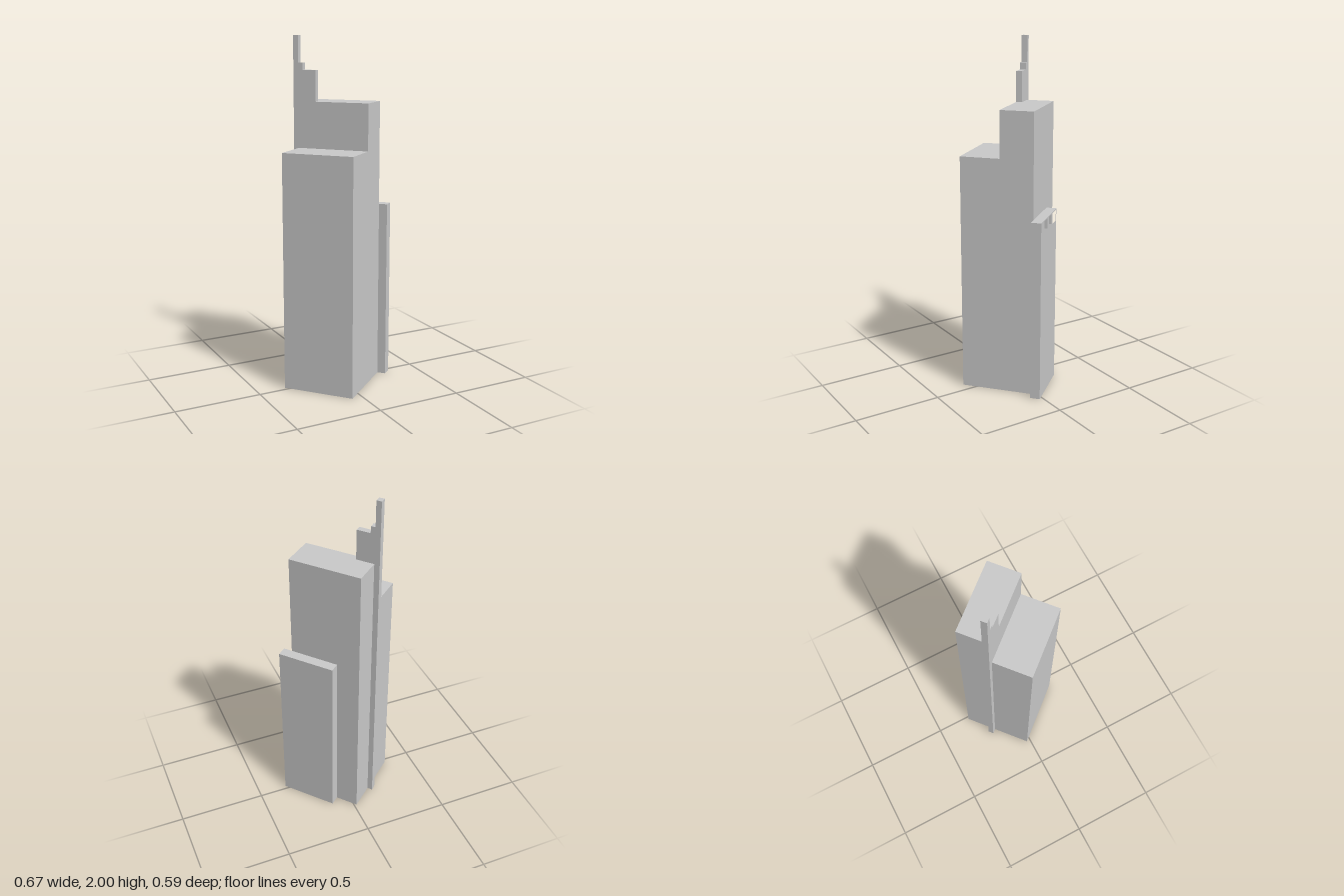
import * as THREE from 'three';

// Plan coordinates: u runs across the tower, v along it, from the tower's left-hand corner.
const material = new THREE.MeshStandardMaterial({ color: 0xcccccc, flatShading: true });

function block(name, u0, u1, v0, v1, height) {
  const geometry = new THREE.BoxGeometry(u1 - u0, height, v1 - v0);
  geometry.translate((u0 + u1) / 2, height / 2, (v0 + v1) / 2);
  const mesh = new THREE.Mesh(geometry, material);
  mesh.name = name;
  return mesh;
}

const path = (points) => points.map(([v, y]) => new THREE.Vector2(-v, y));
const rect = (v0, v1, y0, y1) => [[v0, y0], [v1, y0], [v1, y1], [v0, y1]];

// Upright outline in (v, y), extruded along u
function panel(name, outline, holes, u0, u1) {
  const shape = new THREE.Shape(path(outline));
  for (const hole of holes) shape.holes.push(new THREE.Path(path(hole)));
  const geometry = new THREE.ExtrudeGeometry(shape, { depth: u1 - u0, bevelEnabled: false });
  geometry.rotateY(Math.PI / 2).translate(u0, 0, 0);
  const mesh = new THREE.Mesh(geometry, material);
  mesh.name = name;
  return mesh;
}

export function createModel() {
  const model = new THREE.Group();
  model.name = 'tower';
  const plan = new THREE.Group();
  plan.name = 'towerBody';
  plan.rotation.y = 0.707;
  plan.position.set(-0.335, 0, -0.023);
  model.add(plan);

  // Two main masses
  plan.add(block('lowerBlock', 0, 0.229, 0, 0.419, 1.37));
  plan.add(block('upperBlock', 0.229, 0.421, 0, 0.419, 1.635));

  // Thin stepped fin rising above the roof
  const fin = [[-0.031, 0], [0.104, 0], [0.104, 1.81], [0.025, 1.81], [0.025, 1.85], [-0.001, 1.85], [-0.001, 2], [-0.031, 2]];
  plan.add(panel('steppedFin', fin, [], 0.229, 0.263));

  // Side slab with three recessed windows near its top
  const windows = [0.147, 0.242, 0.337].map((v) => rect(v, v + 0.076, 0.97, 1.034));
  plan.add(block('sideSlab', 0.421, 0.458, 0.135, 0.468, 1.04));
  plan.add(panel('windowFace', rect(0.135, 0.468, 0, 1.04), windows, 0.458, 0.479));

  return model;
}
